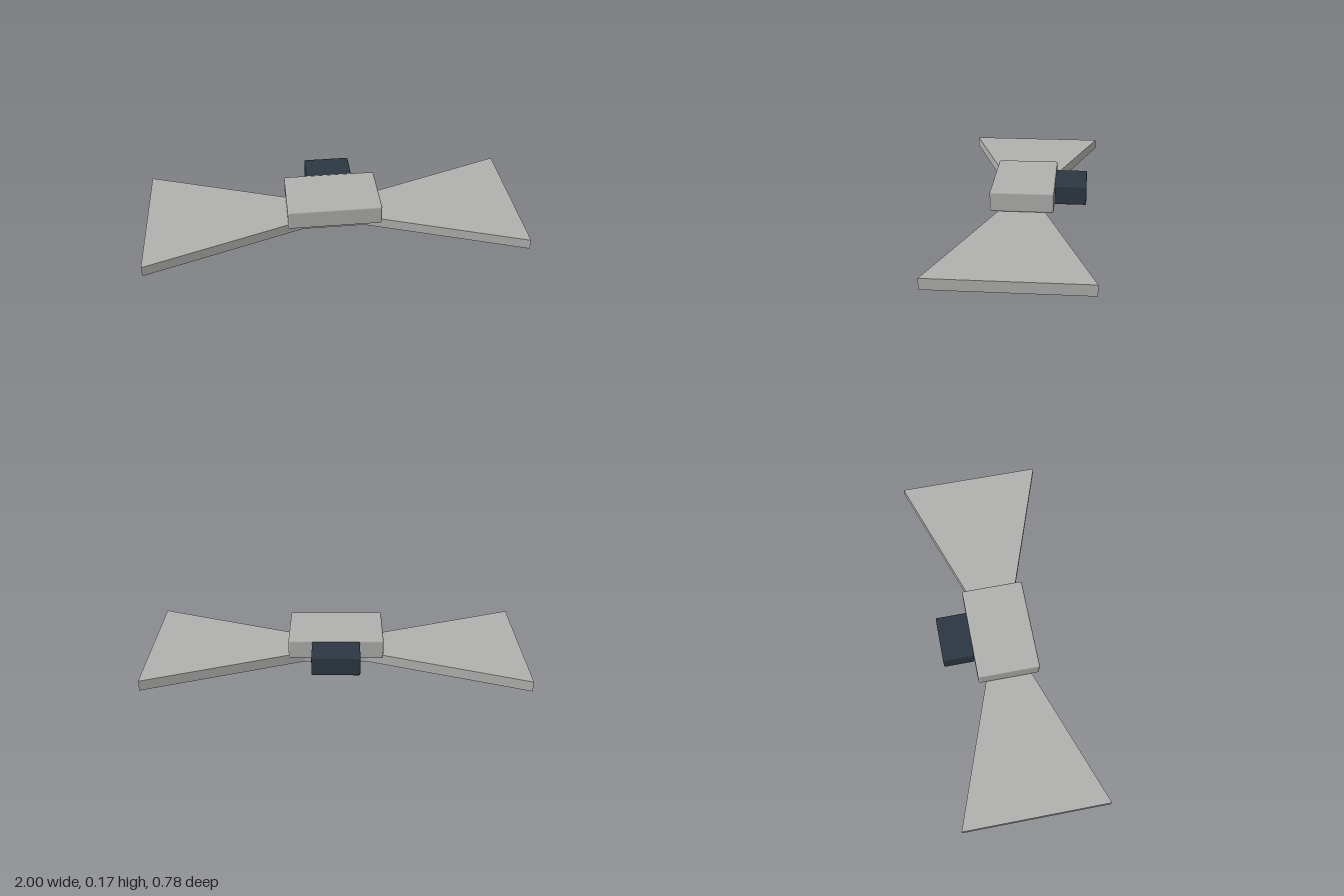
import * as THREE from 'three';
import { RoundedBoxGeometry } from 'three/addons/geometries/RoundedBoxGeometry.js';

export function createModel() {
  const model = new THREE.Group();
  const lightGrey = new THREE.MeshStandardMaterial({ color: 0xb0b0ae });
  lightGrey.name = 'lightGrey';
  const darkSlate = new THREE.MeshStandardMaterial({ color: 0x2d3743 });
  darkSlate.name = 'darkSlate';

  const add = (name, geometry, material, x, y, z) => {
    const mesh = new THREE.Mesh(geometry, material);
    mesh.name = name;
    mesh.position.set(x, y, z);
    model.add(mesh);
  };

  // Flat bow-tie plate with a short straight waist
  const plateHeight = 0.056;
  const outline = [[1, 0.39], [0.167, 0.0975], [-0.167, 0.0975], [-1, 0.39]];
  const points = [...outline, ...outline.map(([x, z]) => [-x, -z])];
  const shape = new THREE.Shape(points.map(([x, z]) => new THREE.Vector2(x, z)));
  const plate = new THREE.ExtrudeGeometry(shape, { depth: plateHeight, bevelEnabled: false });
  plate.rotateX(-Math.PI / 2);
  add('wingPlate', plate, lightGrey, 0, 0, 0);

  // Softly rounded central housing
  add('centralHousing', new RoundedBoxGeometry(0.5, 0.109, 0.332, 3, 0.01),
    lightGrey, 0, 0.1115, 0);

  // Dark block attached to the back of the housing
  add('rearBlock', new RoundedBoxGeometry(0.25, 0.104, 0.174, 3, 0.007),
    darkSlate, 0, 0.108, -0.246);

  return model;
}
